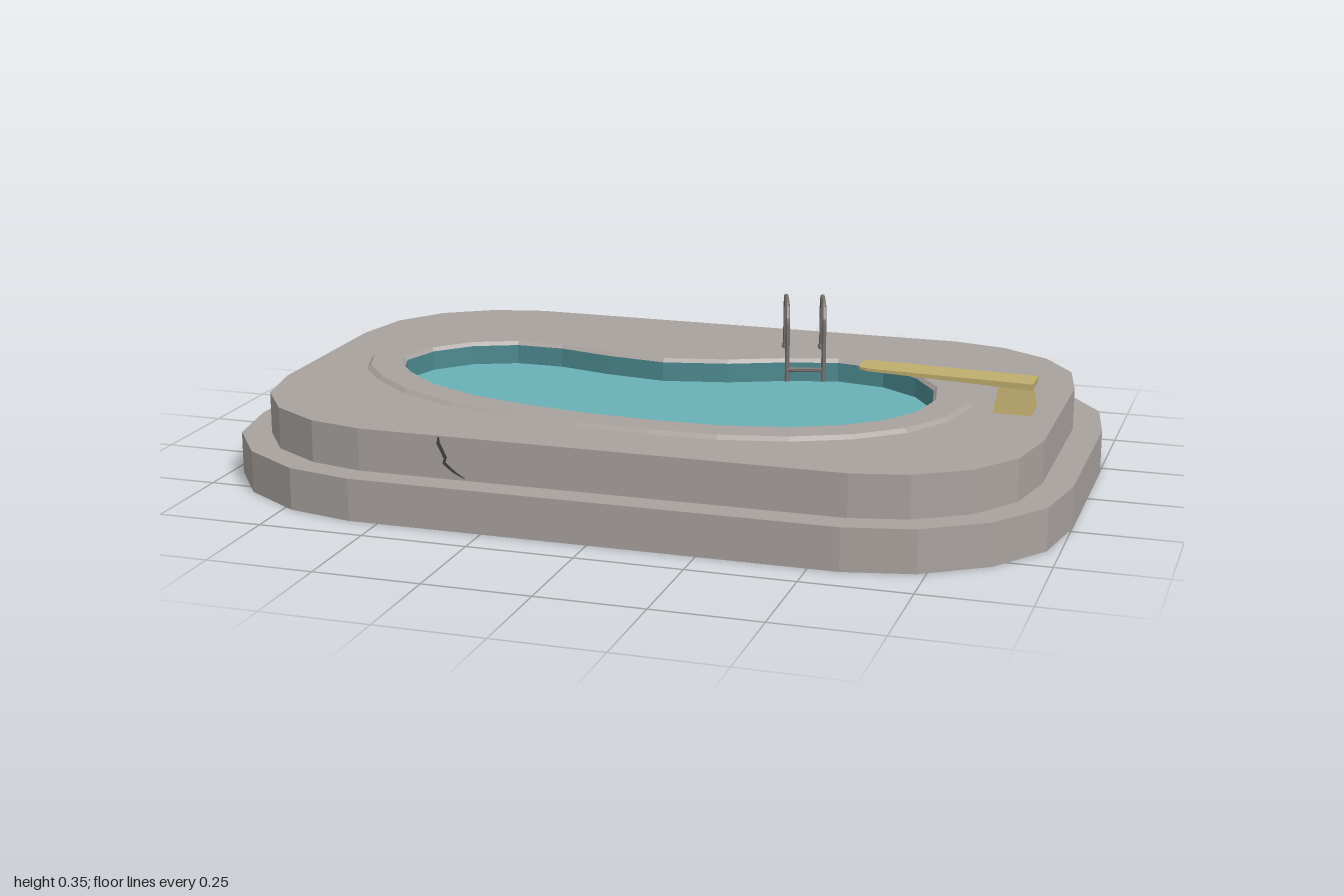
import * as THREE from 'three';

const mat = (name, color, side = THREE.FrontSide) => {
  const m = new THREE.MeshStandardMaterial({ color, side, flatShading: true });
  m.name = name;
  return m;
};

// Kidney-shaped pool edge as [x, z], running left, back, right, front
const POOL = [
  [-0.71, 0], [-0.68, -0.1], [-0.605, -0.18], [-0.5, -0.225], [-0.38, -0.225], [-0.24, -0.19],
  [-0.09, -0.17], [0.07, -0.205], [0.2, -0.26], [0.33, -0.295], [0.45, -0.275], [0.545, -0.21],
  [0.61, -0.11], [0.63, 0], [0.61, 0.11], [0.555, 0.2], [0.47, 0.27], [0.36, 0.32],
  [0.22, 0.35], [0.07, 0.355], [-0.1, 0.345], [-0.26, 0.32], [-0.41, 0.28], [-0.54, 0.215],
  [-0.635, 0.13], [-0.69, 0.06],
];

// Push a closed outline outwards by d
function offset(points, d) {
  const n = points.length;
  const normal = (a, b) => new THREE.Vector2(b[1] - a[1], a[0] - b[0]).normalize();
  return points.map((p, i) => {
    const n1 = normal(points[(i + n - 1) % n], p);
    const n2 = normal(p, points[(i + 1) % n]);
    const k = d / (1 + n1.dot(n2));
    return [p[0] + (n1.x + n2.x) * k, p[1] + (n1.y + n2.y) * k];
  });
}

// Rounded slab outline from one quarter of its corner points
function slabOutline(q) {
  const r = [...q].reverse();
  return [
    ...q.map(([x, z]) => [-x, -z]), ...r.map(([x, z]) => [x, -z]),
    ...q, ...r.map(([x, z]) => [-x, z]),
  ];
}

const toVectors = (pts) => pts.map(([x, z]) => new THREE.Vector2(x, -z));

// Upright slab between two heights, with an optional hole
function slab(pts, y0, y1, hole) {
  const shape = new THREE.Shape(toVectors(pts));
  if (hole) shape.holes.push(new THREE.Path(toVectors(hole)));
  const g = new THREE.ExtrudeGeometry(shape, { depth: y1 - y0, bevelEnabled: false });
  return g.rotateX(-Math.PI / 2).translate(0, y0, 0);
}

// Sweep a profile of [offset, height] around the pool edge
function poolRing(profile) {
  const n = POOL.length;
  const rings = profile.map(([d, y]) => offset(POOL, d).map(([x, z]) => [x, y, z]));
  const pos = [];
  for (let j = 0; j < rings.length - 1; j++) {
    for (let i = 0; i < n; i++) {
      const k = (i + 1) % n;
      const a = rings[j][i], b = rings[j][k], c = rings[j + 1][k], d = rings[j + 1][i];
      pos.push(...a, ...b, ...d, ...b, ...c, ...d);
    }
  }
  const g = new THREE.BufferGeometry();
  g.setAttribute('position', new THREE.Float32BufferAttribute(pos, 3));
  g.computeVertexNormals();
  return g;
}

// Tube following straight segments
function pipe(points, radius) {
  const path = new THREE.CurvePath();
  for (let i = 0; i < points.length - 1; i++) path.add(new THREE.LineCurve3(points[i], points[i + 1]));
  return new THREE.TubeGeometry(path, 40, radius, 6, false);
}

export function createModel() {
  const model = new THREE.Group();
  model.name = 'swimmingPool';
  const stone = mat('stone', 0xa8a29e);
  const water = mat('water', 0x68b0b6);
  const liner = mat('liner', 0x4c8a90);
  const wood = mat('wood', 0xbfad6e);
  const metal = mat('metal', 0x75716f, THREE.DoubleSide);
  const dark = mat('crackDark', 0x454240, THREE.DoubleSide);
  const add = (name, geometry, material, parent = model) => {
    const m = new THREE.Mesh(geometry, material);
    m.name = name;
    parent.add(m);
    return m;
  };

  // Two stone tiers
  const lower = slabOutline([[1, 0.23], [0.97, 0.4], [0.875, 0.535], [0.73, 0.63], [0.57, 0.665]]);
  const upper = slabOutline([[0.93, 0.23], [0.9, 0.38], [0.82, 0.495], [0.7, 0.57], [0.57, 0.6]]);
  add('lowerTier', slab(lower, 0, 0.1), stone);
  add('upperTier', slab(upper, 0.1, 0.2, offset(POOL, 0.03)), stone);

  // Raised coping, inner wall and water
  add('coping', poolRing([[0, 0.2], [0.008, 0.209], [0.083, 0.209], [0.094, 0.199]]), stone);
  add('innerWall', poolRing([[0, 0.14], [0, 0.2]]), liner);
  const surface = new THREE.ShapeGeometry(new THREE.Shape(toVectors(POOL)));
  add('waterSurface', surface.rotateX(-Math.PI / 2).translate(0, 0.152, 0), water);

  // Ladder: two bent rails with rungs between the front legs
  const ladder = new THREE.Group();
  ladder.name = 'ladder';
  model.add(ladder);
  const rails = [[[0.21, -0.25], [0.165, -0.4]], [[0.297, -0.275], [0.255, -0.42]]];
  rails.forEach(([[x0, z0], [x1, z1]], i) => {
    const side = [[0, 0.155], [0, 0.312], [0.2, 0.345], [0.8, 0.345], [1, 0.312], [1, 0.2]];
    const pts = side.map(([t, y]) => new THREE.Vector3(x0 + (x1 - x0) * t, y, z0 + (z1 - z0) * t));
    add('rail' + (i + 1), pipe(pts, 0.006), metal, ladder);
    const foot = add('railFoot' + (i + 1), new THREE.CylinderGeometry(0.008, 0.01, 0.01, 8), metal, ladder);
    foot.position.set(x1, 0.209, z1);
  });
  const rung = [new THREE.Vector3(0.21, 0.185, -0.25), new THREE.Vector3(0.297, 0.185, -0.275)];
  add('rung', pipe(rung, 0.006), metal, ladder);

  // Diving board: thins and rises slightly towards its rounded tip
  const diving = new THREE.Group();
  diving.name = 'divingBoard';
  model.add(diving);
  const plan = [
    [0.455, -0.022], [0.462, -0.034], [0.478, -0.04], [0.87, -0.04],
    [0.87, 0.04], [0.478, 0.04], [0.462, 0.034], [0.455, 0.022],
  ];
  const board = slab(plan, 0, 1);
  const bp = board.attributes.position;
  for (let i = 0; i < bp.count; i++) {
    const t = (0.87 - bp.getX(i)) / 0.415;
    const bottom = 0.26 + 0.017 * t;
    const top = 0.275 + 0.008 * t;
    bp.setY(i, bp.getY(i) > 0.5 ? top : bottom);
  }
  board.computeVertexNormals();
  add('board', board, wood, diving);

  // Tapered stand under the board
  const stand = new THREE.BoxGeometry(0.09, 0.064, 0.084);
  const sp = stand.attributes.position;
  for (let i = 0; i < sp.count; i++) {
    if (sp.getY(i) > 0) {
      sp.setX(i, sp.getX(i) * 0.78);
      sp.setZ(i, sp.getZ(i) * 0.74);
    }
  }
  stand.computeVertexNormals();
  add('boardStand', stand.translate(0.825, 0.231, 0), wood, diving);

  // Thin crack on the front of the upper tier
  const line = [[-0.372, 0.198, 0.002], [-0.373, 0.184, 0.004], [-0.356, 0.15, 0.004],
    [-0.36, 0.138, 0.004], [-0.335, 0.118, 0.003], [-0.31, 0.105, 0.001]];
  const crack = new THREE.Shape([
    ...line.map(([x, y, w]) => new THREE.Vector2(x - w, y - w / 2)),
    ...[...line].reverse().map(([x, y, w]) => new THREE.Vector2(x + w, y + w / 2)),
  ]);
  add('crack', new THREE.ShapeGeometry(crack).translate(0, 0, 0.602), dark);

  return model;
}
